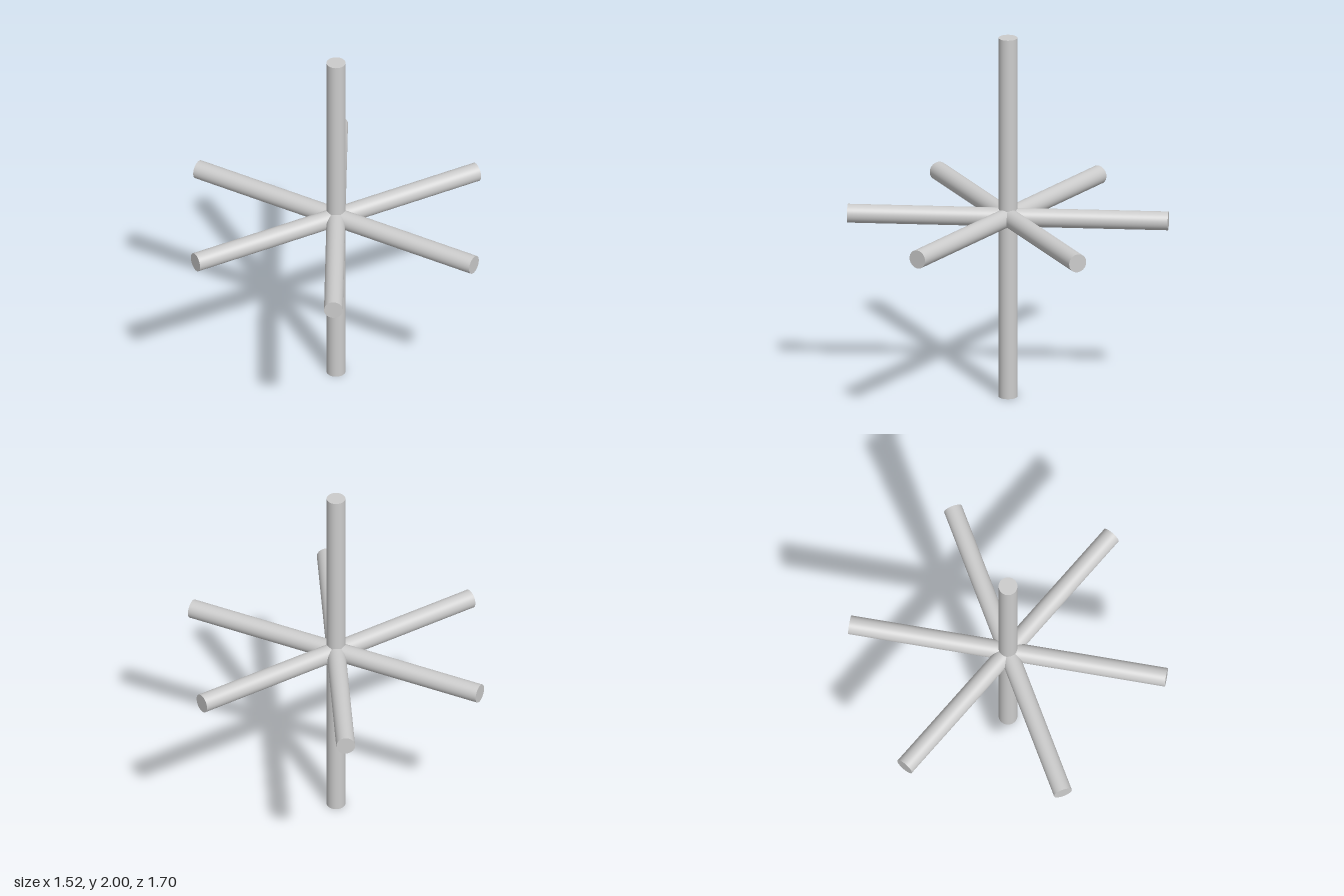
import * as THREE from 'three';

const RADIUS = 0.05;
const CENTRE_Y = 1;

export function createModel() {
  const model = new THREE.Group();
  const material = new THREE.MeshStandardMaterial({ color: 0xcccccc });

  // A round capped rod centred on the hub
  function addRod(name, length) {
    const rod = new THREE.Mesh(new THREE.CylinderGeometry(RADIUS, RADIUS, length, 48), material);
    rod.name = name;
    rod.position.y = CENTRE_Y;
    model.add(rod);
    return rod;
  }

  // Upright axis
  addRod('verticalRod', 2);

  // Three level rods crossing at 60 degrees, the first running front to back
  ['frontToBackRod', 'diagonalRodA', 'diagonalRodB'].forEach((name, i) => {
    const rod = addRod(name, 1.7);
    rod.rotation.set(Math.PI / 2, i * Math.PI / 3, 0, 'YXZ');
  });

  return model;
}
